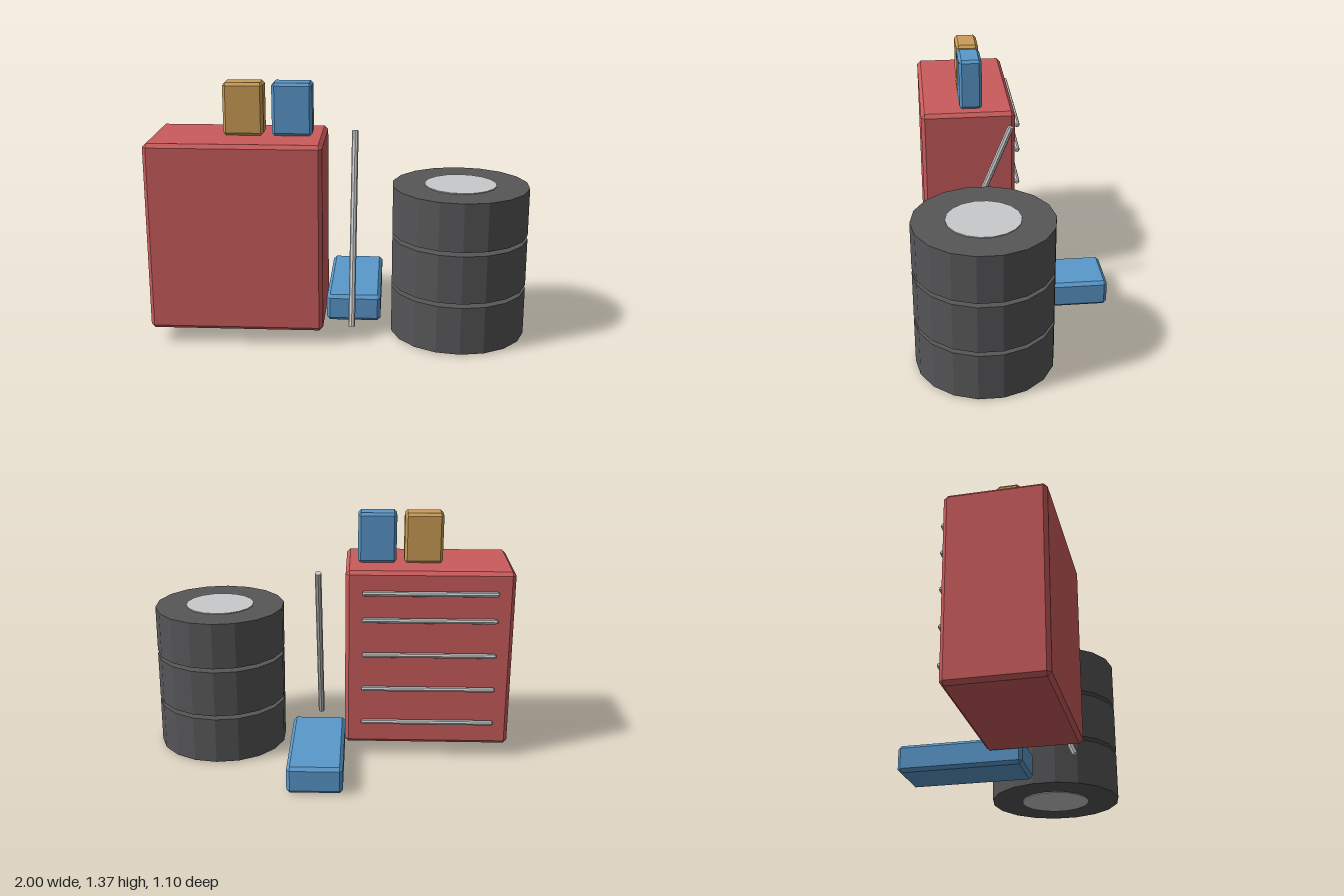
import * as THREE from 'three';
import { ConvexGeometry } from 'three/addons/geometries/ConvexGeometry.js';

const material = (name, color, flatShading = true) => {
  const m = new THREE.MeshStandardMaterial({ color, flatShading });
  m.name = name;
  return m;
};

export function createModel() {
  const red = material('red paint', 0xca5c5c);
  const blue = material('blue paint', 0x5a98ca);
  const ochre = material('ochre paint', 0xca9c56);
  const rubber = material('dark rubber', 0x565658);
  const steel = material('light steel', 0xc8c9ca);

  const model = new THREE.Group();
  model.name = 'garageSet';

  const add = (name, geometry, mat, parent = model) => {
    const mesh = new THREE.Mesh(geometry, mat);
    mesh.name = name;
    parent.add(mesh);
    return mesh;
  };

  // Box with bevelled edges, given by its lower and upper corners
  const bevelBox = (name, min, max, c, mat) => {
    const half = min.map((v, i) => (max[i] - v) / 2);
    const points = [];
    for (const sx of [-1, 1]) for (const sy of [-1, 1]) for (const sz of [-1, 1]) {
      for (let axis = 0; axis < 3; axis++) {
        const p = [sx, sy, sz].map((s, i) => s * (half[i] - (i === axis ? 0 : c)));
        points.push(new THREE.Vector3(...p));
      }
    }
    const mesh = add(name, new ConvexGeometry(points), mat);
    mesh.position.set(...min.map((v, i) => (v + max[i]) / 2));
  };

  // Eight-sided bar with slightly tapered ends, laid between two points
  const bar = (name, from, to, r, taper, parent) => {
    const a = new THREE.Vector3(...from);
    const b = new THREE.Vector3(...to);
    const h = a.distanceTo(b) / 2;
    const profile = [[0, -h], [r * 0.6, -h], [r, -h + taper], [r, h - taper], [r * 0.6, h], [0, h]]
      .map(([x, y]) => new THREE.Vector2(x, y));
    const mesh = add(name, new THREE.LatheGeometry(profile, 8), steel, parent);
    mesh.position.copy(a).add(b).multiplyScalar(0.5);
    mesh.quaternion.setFromUnitVectors(new THREE.Vector3(0, 1, 0), b.sub(a).normalize());
  };

  // Tool cabinet, the cans on it and the block on the floor
  bevelBox('cabinet', [-1, 0.08, -0.055], [-0.08, 1.09, 0.46], 0.02, red);
  bevelBox('ochreCan', [-0.615, 1.09, 0.12], [-0.402, 1.37, 0.245], 0.015, ochre);
  bevelBox('blueCan', [-0.358, 1.09, 0.12], [-0.145, 1.37, 0.245], 0.015, blue);
  bevelBox('floorBlock', [-0.08, 0.007, -0.55], [0.22, 0.157, 0.133], 0.018, blue);

  // Drawer handles on the back face of the cabinet
  const handles = new THREE.Group();
  handles.name = 'drawerHandles';
  model.add(handles);
  for (const y of [0.973, 0.82, 0.62, 0.42, 0.22]) {
    bar('drawerHandle', [-0.91, y, -0.077], [-0.172, y, -0.077], 0.015, 0.01, handles);
  }

  // Leaning rod
  const rod = add('leaningRod', new THREE.CylinderGeometry(0.018, 0.018, 1.064, 8), steel);
  rod.position.set(0.07, 0.576, 0.187);
  rod.rotation.x = Math.atan2(-0.405, 0.984);

  // Stack of three tyres, each with a hub standing slightly proud
  const stack = new THREE.Group();
  stack.name = 'tyreStack';
  stack.position.set(0.64, 0, 0.18);
  model.add(stack);
  for (let i = 0; i < 3; i++) {
    const y = 0.135 + i * 0.28;
    add('tyre', new THREE.CylinderGeometry(0.365, 0.365, 0.258, 18), rubber, stack).position.y = y;
    add('hub', new THREE.CylinderGeometry(0.192, 0.192, 0.268, 18), steel, stack).position.y = y;
  }
  return model;
}
